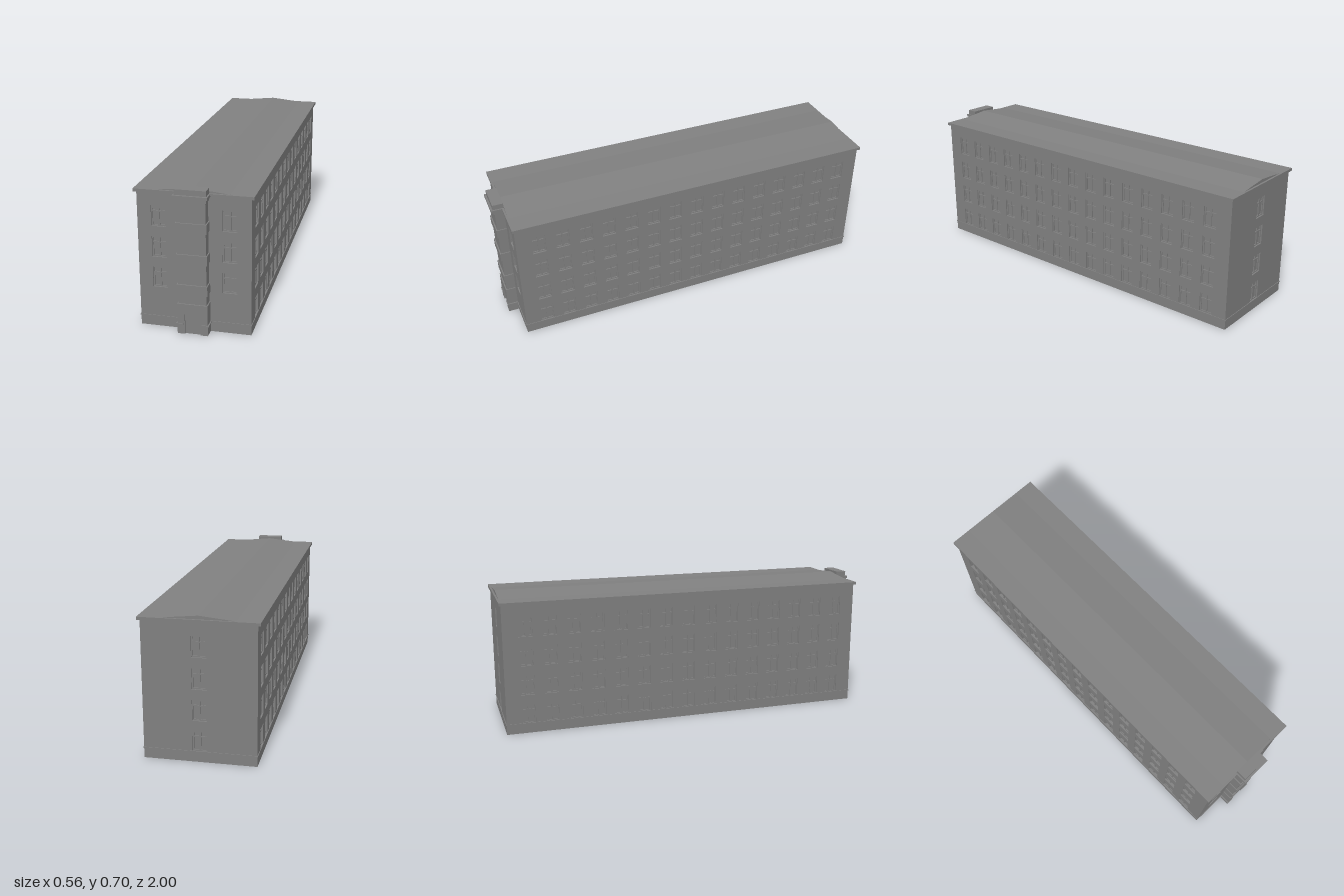
import * as THREE from 'three';

const W = 0.265, FRONT = 0.935, BACK = -0.985, H = 0.662, T = 0.014;
const MID = (FRONT + BACK) / 2, LEN = FRONT - BACK;
const WIN_W = 0.07, WIN_H = 0.1;
const ROWS = [0.1, 0.25, 0.4, 0.55];

export function createModel() {
  const grey = new THREE.MeshStandardMaterial({ color: 0x808080, side: THREE.DoubleSide });
  grey.name = 'grey render';
  const model = new THREE.Group();
  model.name = 'building';

  const add = (parent, name, geometry) => {
    const mesh = new THREE.Mesh(geometry, grey);
    mesh.name = name;
    parent.add(mesh);
    return mesh;
  };
  // Box given by its minimum and maximum corners
  const block = (parent, name, x0, x1, y0, y1, z0, z1) => {
    const mesh = add(parent, name, new THREE.BoxGeometry(x1 - x0, y1 - y0, z1 - z0));
    mesh.position.set((x0 + x1) / 2, (y0 + y1) / 2, (z0 + z1) / 2);
    return mesh;
  };
  const rect = (Type, x, y, w, h) => new Type().setFromPoints([
    [x - w / 2, y - h / 2], [x + w / 2, y - h / 2], [x + w / 2, y + h / 2], [x - w / 2, y + h / 2],
  ].map(([a, b]) => new THREE.Vector2(a, b)));

  // Wall with recessed windows; its outer face lies on local z = 0
  const wall = (name, width, columns, rows) => {
    const group = new THREE.Group();
    group.name = name;
    const shape = rect(THREE.Shape, 0, H / 2, width, H);
    const panel = [];
    for (const x of columns) for (const y of rows) {
      shape.holes.push(rect(THREE.Path, x, y, WIN_W, WIN_H));
      panel.push([x, y]);
    }
    add(group, 'wallPanel', new THREE.ExtrudeGeometry(shape, { depth: T, bevelEnabled: false })).position.z = -T;
    for (const [x, y] of panel) {
      const w = WIN_W / 2, h = WIN_H / 2;
      block(group, 'windowPane', x - w, x + w, y - h, y + h, -T, -T + 0.002);
      block(group, 'windowMullion', x - 0.004, x + 0.004, y - h, y + h, -T, -0.007);
      block(group, 'windowTransom', x - w, x + w, y + 0.018, y + 0.024, -T, -0.007);
      for (const s of [-1, 1]) {
        block(group, 'windowFrameSide', x + s * (w - 0.003) - 0.003, x + s * (w - 0.003) + 0.003, y - h, y + h, -T, -0.007);
        block(group, 'windowFrameRail', x - w, x + w, y + s * (h - 0.003) - 0.003, y + s * (h - 0.003) + 0.003, -T, -0.007);
      }
    }
    model.add(group);
    return group;
  };

  // Main walls
  const bays = Array.from({ length: 15 }, (_, i) => (i - 7) * 0.121);
  wall('frontWall', 2 * W, [-0.165, 0.165], ROWS.slice(1)).position.z = FRONT;
  const back = wall('backWall', 2 * W, [0], ROWS);
  back.position.z = BACK;
  back.rotation.y = Math.PI;
  for (const s of [-1, 1]) {
    const side = wall(s > 0 ? 'leftWall' : 'rightWall', LEN, bays, ROWS);
    side.position.set(s * W, 0, MID);
    side.rotation.y = s * Math.PI / 2;
  }

  // Thin string course above the plinth, running round the building
  const y0 = 0.048, y1 = 0.053, o = 0.003;
  for (const s of [-1, 1]) {
    const span = (a, b) => [Math.min(s * a, s * b), Math.max(s * a, s * b)];
    block(model, 'stringCourseSide', ...span(W - 0.002, W + o), y0, y1, BACK - o, FRONT + o);
    block(model, 'stringCourseFront', ...span(0.07, W + o), y0, y1, FRONT - 0.002, FRONT + o);
    block(model, 'stringCourseTowerSide', ...span(0.07, 0.078), y0, y1, FRONT, 0.992);
    block(model, 'stringCourseTower', ...span(0.042, 0.078), y0, y1, 0.982, 0.992);
  }
  block(model, 'stringCourseBack', -W - o, W + o, y0, y1, BACK - o, BACK + 0.002);

  // Roof slab with overhanging eaves and a shallow ridge
  block(model, 'eaves', -0.278, 0.278, H, 0.676, -0.995, 0.945);
  const ridge = new THREE.Shape([[-0.18, 0.675], [0.18, 0.675], [0, 0.693]].map(p => new THREE.Vector2(...p)));
  add(model, 'roofRidge', new THREE.ExtrudeGeometry(ridge, { depth: LEN, bevelEnabled: false })).position.z = BACK;

  // Stair tower: stacked U-shaped shells, parapet bands alternating with inset bands
  const tower = new THREE.Group();
  tower.name = 'stairTower';
  model.add(tower);
  const shell = (name, a, b, half, front) => {
    for (const s of [-1, 1]) {
      const x = s * (half - 0.004);
      block(tower, name + 'Side', x - 0.004, x + 0.004, a, b, FRONT, front);
    }
    block(tower, name + 'Front', -half, half, a, b, front - 0.01, front);
  };
  for (const [a, b] of [[0.2, 0.247], [0.35, 0.395], [0.5, 0.545], [0.645, H]])
    shell('parapetBand', a, b, 0.072, 0.988);
  for (const [a, b] of [[0.15, 0.2], [0.247, 0.35], [0.395, 0.5], [0.545, 0.645]])
    shell('insetBand', a, b, 0.067, 0.982);
  shell('doorLintel', 0.1, 0.151, 0.072, 0.988);
  for (const s of [-1, 1]) {
    block(tower, 'entranceSide', s * 0.068 - 0.004, s * 0.068 + 0.004, 0, 0.1, FRONT, 0.988);
    block(tower, 'entrancePier', s * 0.0545 - 0.0175, s * 0.0545 + 0.0175, 0, 0.1, 0.978, 0.988);
  }
  block(tower, 'door', -0.037, 0.037, 0, 0.1, 0.976, 0.98);
  block(tower, 'towerCornice', -0.08, 0.08, H, 0.676, FRONT, 1);
  block(tower, 'towerCap', -0.073, 0.073, 0.676, 0.702, FRONT, 0.99);

  return model;
}
